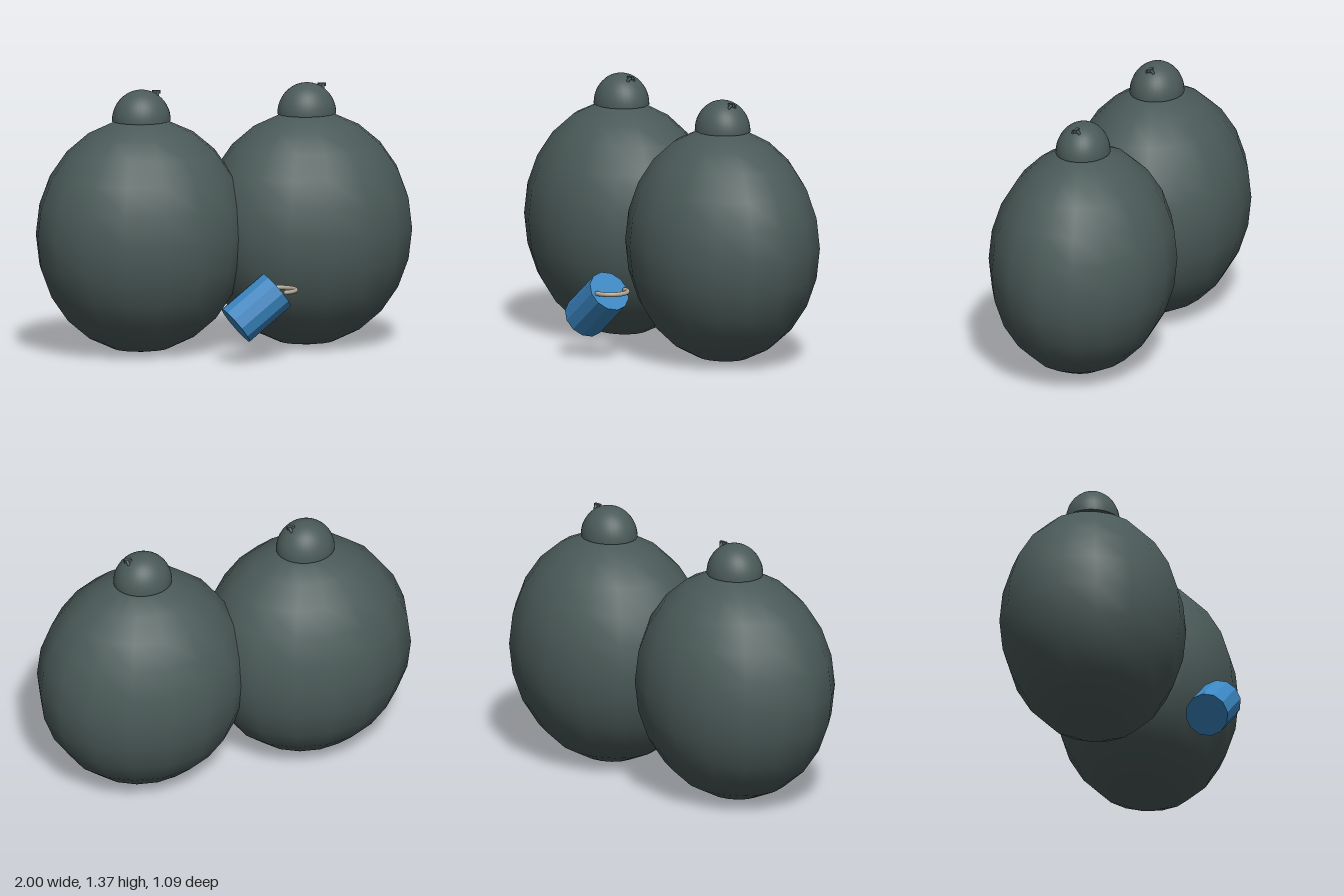
import * as THREE from 'three';

export function createModel() {
  const bagMat = new THREE.MeshStandardMaterial({ color: 0x4a5a58 });
  bagMat.name = 'dark slate';
  const blueMat = new THREE.MeshStandardMaterial({ color: 0x3a86c2, flatShading: true });
  blueMat.name = 'blue';
  const metalMat = new THREE.MeshStandardMaterial({ color: 0xb4a898 });
  metalMat.name = 'pale metal';

  const model = new THREE.Group();
  model.name = 'twinOvalsWithTag';

  const add = (parent, name, geometry, material, x, y, z) => {
    const mesh = new THREE.Mesh(geometry, material);
    mesh.name = name;
    mesh.position.set(x, y, z);
    parent.add(mesh);
    return mesh;
  };

  // Shared shapes: oval body, domed cap with a flat underside, tiny loop
  const bodyGeo = new THREE.SphereGeometry(1, 16, 12).scale(0.555, 0.61, 0.473);
  const domeGeo = new THREE.SphereGeometry(1, 32, 12, 0, Math.PI * 2, 0, Math.PI / 2).scale(0.153, 0.16, 0.139);
  const baseGeo = new THREE.CircleGeometry(1, 32).rotateX(Math.PI / 2).scale(0.153, 1, 0.139);
  const loopPath = new THREE.CatmullRomCurve3([
    new THREE.Vector3(0.08, 0.115, 0.017),
    new THREE.Vector3(0.083, 0.138, 0.016),
    new THREE.Vector3(0.088, 0.147, 0),
    new THREE.Vector3(0.083, 0.138, -0.016),
    new THREE.Vector3(0.08, 0.115, -0.017),
  ]);
  const loopGeo = new THREE.TubeGeometry(loopPath, 14, 0.008, 8);

  for (const [side, x] of [['left', 0.443], ['right', -0.443]]) {
    const half = new THREE.Group();
    half.name = side + 'Oval';
    half.position.set(x, 0, -0.068);
    model.add(half);
    add(half, side + 'Body', bodyGeo, bagMat, 0, 0.614, 0);
    add(half, side + 'Cap', domeGeo, bagMat, 0, 1.21, 0);
    add(half, side + 'CapBase', baseGeo, bagMat, 0, 1.21, 0);
    // Both loops lean towards +x
    add(half, side + 'CapLoop', loopGeo, bagMat, 0, 1.21, 0);
    add(half, side + 'CapLoopTab', new THREE.BoxGeometry(0.04, 0.016, 0.016), bagMat, 0.08, 0.147 + 1.21, 0);
  }

  // Tilted twelve-sided tag in front
  const tag = add(model, 'tagCylinder', new THREE.CylinderGeometry(0.1125, 0.1125, 0.281, 12), blueMat, 0.03, 0.29, 0.432);
  tag.rotation.z = -Math.atan2(0.782, 0.622);

  // Level half ring at the tag's upper end
  const ringGeo = new THREE.TorusGeometry(0.088, 0.012, 10, 24, Math.PI)
    .rotateZ(-Math.PI / 2)
    .rotateX(Math.PI / 2);
  add(model, 'tagRing', ringGeo, metalMat, 0.15, 0.377, 0.432);

  return model;
}
